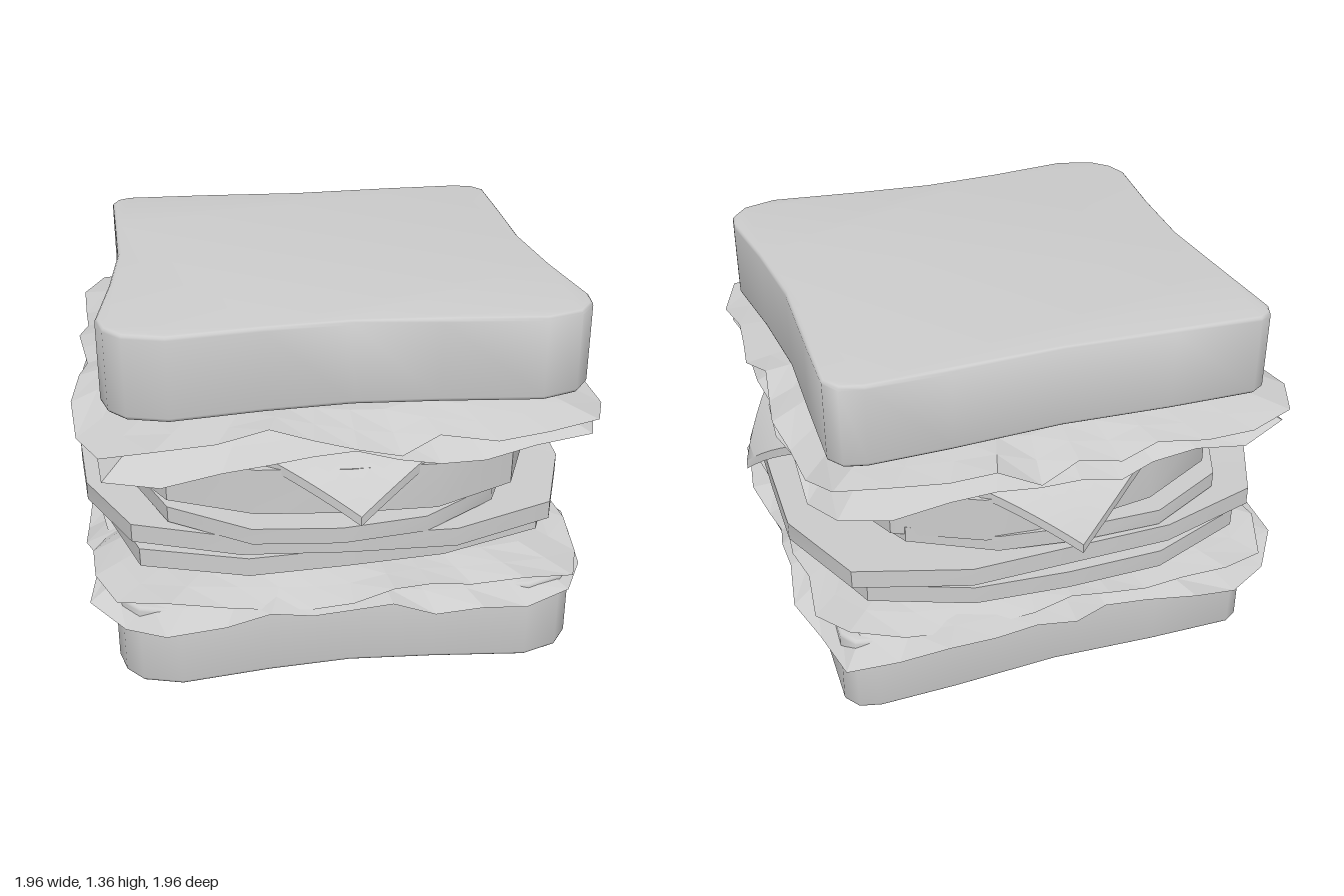
import * as THREE from 'three';
import { toCreasedNormals } from 'three/addons/utils/BufferGeometryUtils.js';

const grey = new THREE.MeshStandardMaterial({ color: 0xcccccc });
const leafy = new THREE.MeshStandardMaterial({ color: 0xcccccc, flatShading: true, side: THREE.DoubleSide });

function seeded(seed) {
  let s = seed;
  return () => ((s = (s * 16807) % 2147483647) / 2147483647);
}

// Factor that turns a unit circle into a rounded square
const squareness = (a, power) =>
  1 / Math.pow(Math.abs(Math.cos(a)) ** power + Math.abs(Math.sin(a)) ** power, 1 / power);

// Bread outline seen from above, as x, z pairs
const breadOutline = [
  [-0.79, -0.71], [-0.77, -0.76], [-0.72, -0.79], [-0.4, -0.785], [0, -0.765], [0.4, -0.785],
  [0.69, -0.79], [0.77, -0.77], [0.81, -0.71], [0.8, -0.4], [0.785, -0.05], [0.81, 0.3],
  [0.85, 0.62], [0.84, 0.7], [0.78, 0.78], [0.65, 0.825], [0.3, 0.79], [0, 0.77],
  [-0.3, 0.79], [-0.62, 0.83], [-0.76, 0.79], [-0.82, 0.72], [-0.845, 0.63], [-0.8, 0.3], [-0.77, -0.03], [-0.78, -0.4],
];

// Slice of bread with softened edges
function bread(name, y, height) {
  const bevel = 0.015;
  const shape = new THREE.Shape(breadOutline.map(([x, z]) => new THREE.Vector2(x, -z)));
  const geo = new THREE.ExtrudeGeometry(shape, {
    depth: height - 2 * bevel, bevelEnabled: true, bevelThickness: bevel,
    bevelSize: bevel, bevelOffset: -bevel, bevelSegments: 3,
  });
  geo.rotateX(-Math.PI / 2).translate(0, y + bevel, 0);
  const mesh = new THREE.Mesh(toCreasedNormals(geo, 0.9), grey);
  mesh.name = name;
  return mesh;
}

// Filling: a low disc with a rounded-square, slightly wavy rim
function filling(name, { pos, rx, rz, height, power, tilt, seed }) {
  const geo = new THREE.CylinderGeometry(1, 1, height, 16);
  const p = geo.attributes.position;
  for (let i = 0; i < p.count; i++) {
    const x = p.getX(i), z = p.getZ(i);
    const a = Math.atan2(z, x), r = Math.hypot(x, z);
    const k = squareness(a, power) * (1 + 0.02 * Math.sin(3 * a + seed));
    p.setXYZ(i, x * k * rx, p.getY(i) + r * 0.012 * Math.sin(2 * a + seed), z * k * rz);
  }
  const mesh = new THREE.Mesh(toCreasedNormals(geo, 0.6), grey);
  mesh.position.set(...pos);
  mesh.rotation.set(tilt[0], 0, tilt[1]);
  mesh.name = name;
  return mesh;
}

// Square cheese slice, turned by 45 degrees, its four corners curling down
function cheese() {
  const reach = 1.13, fold = 0.55, top = 0.915;
  const edge = reach * Math.SQRT2;
  const geo = new THREE.BoxGeometry(edge, 0.035, edge, 24, 1, 24).rotateY(Math.PI / 4);
  const p = geo.attributes.position;
  for (let i = 0; i < p.count; i++) {
    const x = p.getX(i), z = p.getZ(i);
    const alongX = Math.abs(x) > Math.abs(z);
    const far = Math.max(Math.abs(x), Math.abs(z));
    if (far <= fold) {
      p.setY(i, p.getY(i) + top);
      continue;
    }
    const tip = alongX ? (x > 0 ? 0.63 : 0.68) : (z > 0 ? 0.715 : 0.68);
    const fall = Math.min(1, (far - fold) / (reach - fold));
    const pull = 1 - (fall * fall * (reach - 0.98)) / far;
    p.setXYZ(i, alongX ? x * pull : x, p.getY(i) + top - (top - tip) * fall ** 1.9, alongX ? z : z * pull);
  }
  const mesh = new THREE.Mesh(toCreasedNormals(geo, 0.7), grey);
  mesh.name = 'cheeseSlice';
  return mesh;
}

// Crumpled leaf: flat in the middle, hanging at a ragged, nearly square rim
function lettuce(name, { y, half, drop, wave, corner, floor, ceiling, seed }) {
  const rand = seeded(seed);
  const n = 40, rings = [0, 0.5, 0.8, 0.9, 1];
  const pos = [], index = [];
  const spokes = Array.from({ length: n }, (_, j) => ({
    grow: 0.97 + 0.07 * rand(),
    lift: (rand() - 0.5) * wave + Math.sin(j * 0.9 + seed) * wave * 0.4,
  }));
  rings.forEach((t, i) => spokes.forEach(({ grow, lift }, j) => {
    const a = (j / n) * Math.PI * 2;
    const r = t * half * grow * squareness(a, 7);
    const hang = Math.max(0, (t - 0.75) / 0.25);
    const diag = Math.abs(Math.sin(2 * a)) ** 8;
    const h = y - hang * (drop + corner * diag - lift);
    pos.push(Math.cos(a) * r - 0.01, Math.min(t < 0.95 ? Math.max(h, floor) : h, ceiling), Math.sin(a) * r + 0.01);
    if (i > 0) {
      const k = (j + 1) % n, b = i * n, d = b - n;
      index.push(d + j, d + k, b + j, d + k, b + k, b + j);
    }
  }));
  const geo = new THREE.BufferGeometry();
  geo.setAttribute('position', new THREE.Float32BufferAttribute(pos, 3));
  geo.setIndex(index);
  geo.computeVertexNormals();
  const mesh = new THREE.Mesh(geo, leafy);
  mesh.name = name;
  return mesh;
}

export function createModel() {
  const group = new THREE.Group();
  group.name = 'sandwich';
  group.add(
    bread('bottomBread', 0, 0.315),
    bread('topBread', 1.05, 0.305),
    // Lower leaves
    lettuce('lowerLettuce', { y: 0.37, half: 0.91, drop: 0.06, wave: 0.05, corner: 0.05, floor: 0.325, ceiling: 0.42, seed: 11 }),
    lettuce('lowerLettuceTop', { y: 0.415, half: 0.88, drop: 0.05, wave: 0.05, corner: 0.01, floor: 0.34, ceiling: 0.43, seed: 57 }),
    // Fillings
    filling('lowerSlice', { pos: [-0.01, 0.465, -0.02], rx: 0.86, rz: 0.82, height: 0.07, power: 4, tilt: [-0.01, 0.01], seed: 1 }),
    filling('upperSlice', { pos: [-0.02, 0.555, -0.02], rx: 0.93, rz: 0.86, height: 0.07, power: 3.6, tilt: [0.01, 0], seed: 4 }),
    filling('thinSlice', { pos: [-0.05, 0.635, 0.01], rx: 0.76, rz: 0.87, height: 0.06, power: 2.8, tilt: [0.015, 0.01], seed: 2.5 }),
    filling('patty', { pos: [-0.03, 0.755, 0.02], rx: 0.79, rz: 0.84, height: 0.17, power: 2.8, tilt: [0, -0.015], seed: 5 }),
    cheese(),
    // Upper leaves
    lettuce('upperLettuce', { y: 1.02, half: 0.9, drop: 0.1, wave: 0.06, corner: 0.04, floor: 0.9, ceiling: 1.04, seed: 23 }),
    lettuce('upperLettuceTop', { y: 1.045, half: 0.91, drop: 0.06, wave: 0.06, corner: 0.01, floor: 0.94, ceiling: 1.048, seed: 91 }),
  );
  return group;
}
